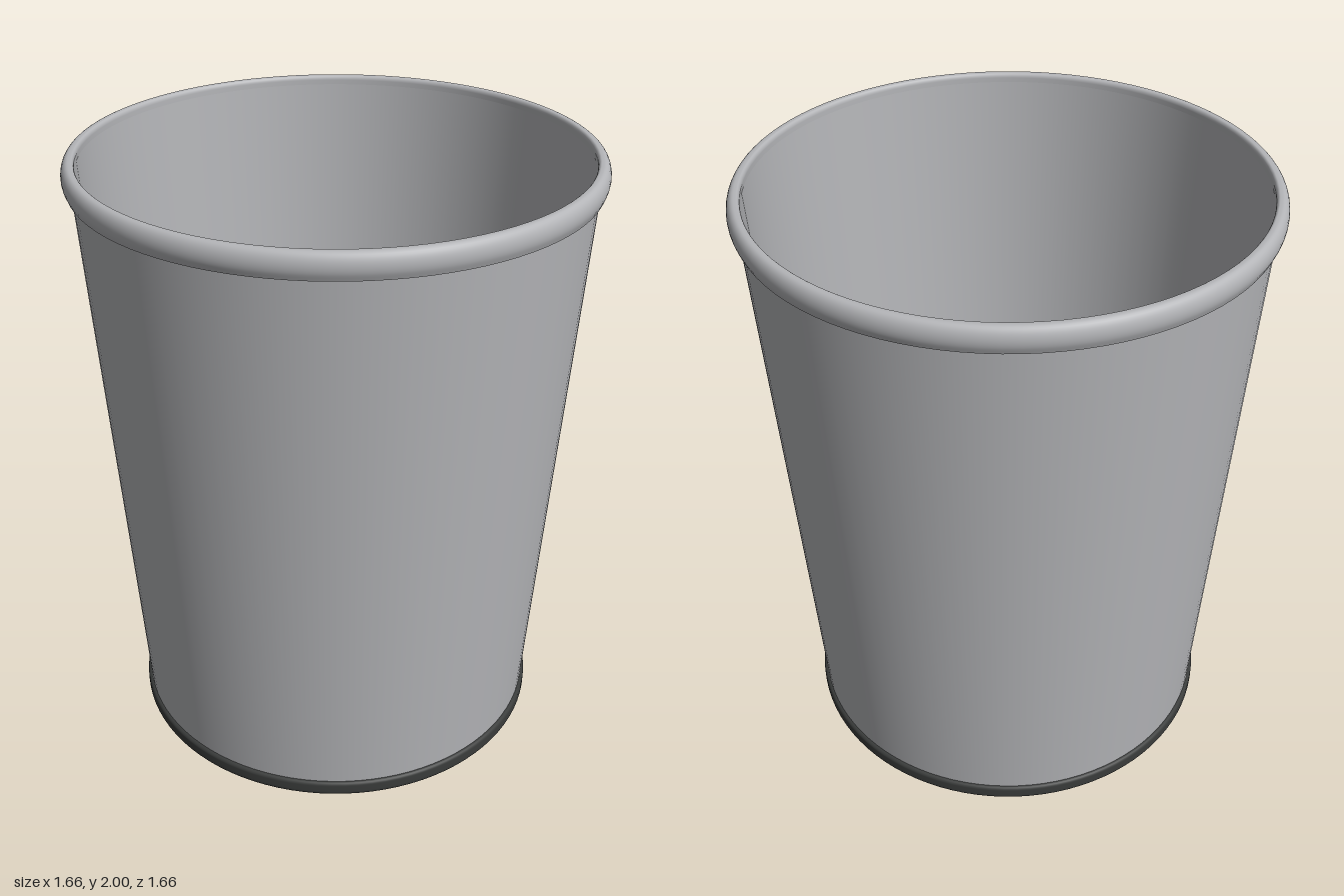
import * as THREE from 'three';

const SEGMENTS = 96;

// Profile points run counter-clockwise around the solid: up outside, down inside
function lathe(name, points, material) {
  const profile = points.map(([r, y]) => new THREE.Vector2(r, y));
  const mesh = new THREE.Mesh(new THREE.LatheGeometry(profile, SEGMENTS), material);
  mesh.name = name;
  return mesh;
}

// Points of a circular arc from angle a to angle b (in degrees)
function arc(cx, cy, rx, ry, a, b, steps = 8) {
  return Array.from({ length: steps + 1 }, (_, i) => {
    const t = THREE.MathUtils.degToRad(a + ((b - a) * i) / steps);
    return [cx + rx * Math.cos(t), cy + ry * Math.sin(t)];
  });
}

export function createModel() {
  const metal = new THREE.MeshStandardMaterial({ color: 0xb4b5b8 });
  metal.name = 'grey metal';
  const rubber = new THREE.MeshStandardMaterial({ color: 0x3a3c3b });
  rubber.name = 'dark rubber';

  const bin = new THREE.Group();
  bin.name = 'wasteBin';

  // Tapered outer wall
  bin.add(lathe('outerWall', [[0.685, 0.04], [0.807, 1.93]], metal));

  // Inner wall running down into a rounded corner and a flat floor
  bin.add(lathe('innerWallAndFloor', [
    [0.79, 1.97],
    [0.672, 0.13],
    ...arc(0.612, 0.13, 0.06, 0.06, -10, -90),
    [0.58, 0.07],
    [0, 0.07],
  ], metal));

  // Rolled rim: flat underside, rounded bead outside, soft lip inside
  bin.add(lathe('rimUnderside', [[0.79, 1.92], [0.822, 1.92]], metal));
  bin.add(lathe('rim', [
    [0.822, 1.92],
    ...arc(0.807, 1.958, 0.025, 0.042, -40, 90, 12),
    ...arc(0.8, 1.985, 0.01, 0.015, 90, 180, 5),
    [0.79, 1.96],
  ], metal));

  // Dark base ring with rounded edges
  bin.add(lathe('baseRing', [
    [0.675, 0],
    ...arc(0.68, 0.02, 0.018, 0.02, -90, 0, 6),
    ...arc(0.686, 0.043, 0.012, 0.012, 0, 90, 5),
    [0.675, 0.055],
  ], rubber));

  // Underside of the base
  bin.add(lathe('baseUnderside', [[0, 0], [0.68, 0]], rubber));

  return bin;
}
